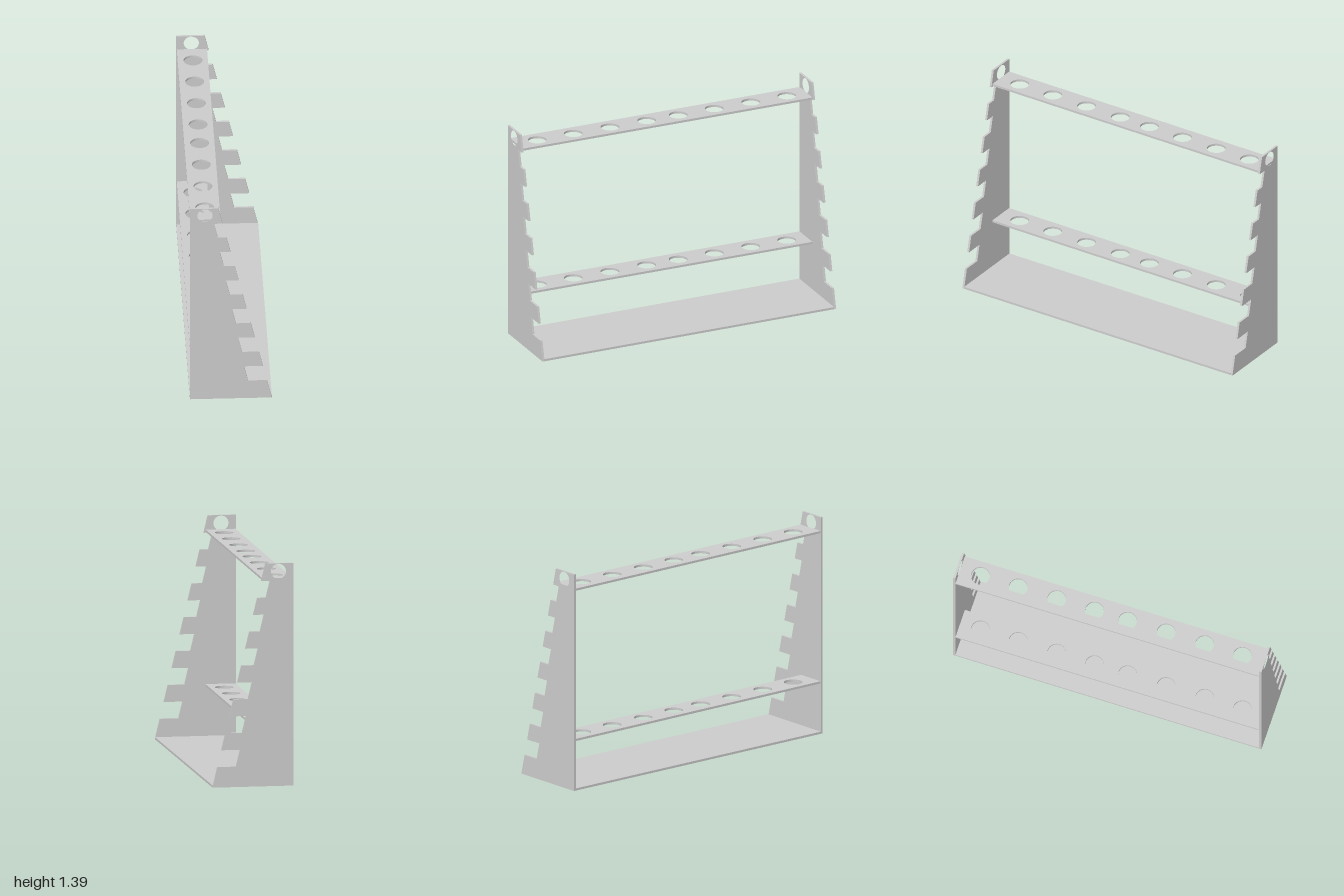
import * as THREE from 'three';

const THICK = 0.014;

export function createModel() {
  const model = new THREE.Group();
  const material = new THREE.MeshStandardMaterial({ color: 0xcccccc });

  function addMesh(geometry, name) {
    const mesh = new THREE.Mesh(geometry, material);
    mesh.name = name;
    model.add(mesh);
    return mesh;
  }

  function circleHole(x, y, r) {
    const hole = new THREE.Path();
    hole.absarc(x, y, r, 0, Math.PI * 2, true);
    return hole;
  }

  function extrude(shape) {
    return new THREE.ExtrudeGeometry(shape, { depth: THICK, bevelEnabled: false, curveSegments: 20 });
  }

  // End panel: straight back, sloping front edge cut by notches that deepen downwards
  const top = 1.39;
  const frontX = (y) => 0.253 - (y / top) * 0.331;
  const panel = new THREE.Shape();
  panel.moveTo(-0.253, 0);
  panel.lineTo(-0.253, top);
  panel.lineTo(frontX(top), top);
  for (let i = 0; i < 6; i++) {
    const high = 1.282 - i * 0.21;
    const low = high - 0.104;
    const depth = 0.054 + i * 0.0126;
    panel.lineTo(frontX(high), high);
    panel.lineTo(frontX(high) - depth, high);
    panel.lineTo(frontX(low) - depth, low);
    panel.lineTo(frontX(low), low);
  }
  panel.lineTo(0.253, 0);
  panel.closePath();
  panel.holes.push(circleHole(-0.16, 1.34, 0.047));

  const panelGeometry = extrude(panel);
  addMesh(panelGeometry, 'frontEndPanel').position.z = 1 - THICK;
  addMesh(panelGeometry, 'rearEndPanel').position.z = -1;

  // Base board between the end panels
  const base = addMesh(new THREE.BoxGeometry(0.506, THICK, 2 - 2 * THICK), 'baseBoard');
  base.position.y = THICK / 2;

  // Two shelves, each with a row of eight round holes (shape y runs towards -z)
  const half = 1 - THICK;
  const shelf = new THREE.Shape();
  shelf.moveTo(-0.25, -half);
  shelf.lineTo(-0.063, -half);
  shelf.lineTo(-0.063, half);
  shelf.lineTo(-0.25, half);
  shelf.closePath();
  for (const z of [-0.855, -0.61, -0.36, -0.115, 0.1, 0.35, 0.6, 0.845]) {
    shelf.holes.push(circleHole(-0.155, -z, 0.058));
  }
  const shelfGeometry = extrude(shelf);
  shelfGeometry.translate(0, 0, -THICK / 2);
  shelfGeometry.rotateX(-Math.PI / 2);
  for (const [name, y] of [['lowerShelf', 0.327], ['upperShelf', 1.292]]) {
    const mesh = addMesh(shelfGeometry, name);
    mesh.position.y = y;
    mesh.rotation.x = -0.003; // slight fall towards the rear
  }

  return model;
}
